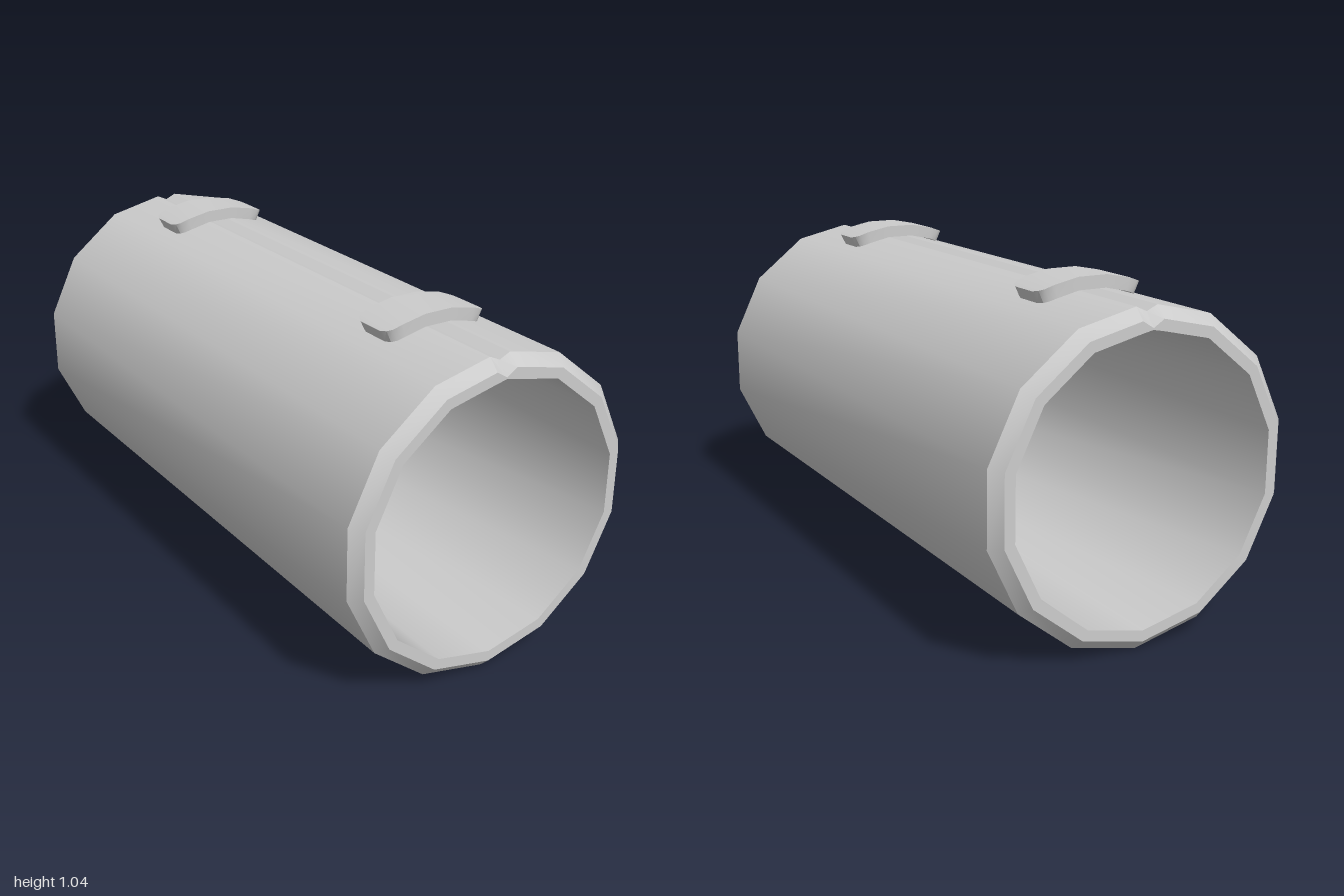
import * as THREE from 'three';
import { toCreasedNormals } from 'three/addons/utils/BufferGeometryUtils.js';

const SIDES = 14, CENTER_Y = 0.505;
const material = new THREE.MeshStandardMaterial({ color: 0xcccccc });

// Skin a list of equal-length closed sections; optionally join last to first or cap the quad ends.
function loft(sections, { join = false, cap = false }) {
  const n = sections[0].length, m = sections.length, index = [];
  for (let i = 0; i < (join ? m : m - 1); i++) {
    for (let j = 0; j < n; j++) {
      const a = i * n + j, d = i * n + (j + 1) % n;
      const k = ((i + 1) % m) * n;
      const b = k + j, c = k + (j + 1) % n;
      index.push(a, b, c, a, c, d);
    }
  }
  if (cap) {
    const e = (m - 1) * n;
    index.push(0, 1, 2, 0, 2, 3, e + 3, e + 2, e + 1, e + 3, e + 1, e);
  }
  const g = new THREE.BufferGeometry();
  g.setAttribute('position', new THREE.Float32BufferAttribute(sections.flat(2), 3));
  g.setIndex(index);
  return toCreasedNormals(g, 0.55);
}

// 14-sided ring whose top corner is split into a shallow V of the given lowest height.
function ring(radius, z, grooveY) {
  const x = 0.035, y = CENTER_Y + radius - x * Math.tan(Math.PI / SIDES);
  const points = [[0, grooveY, z], [x, y, z]];
  for (let i = 1; i < SIDES; i++) {
    const a = (i / SIDES) * Math.PI * 2;
    points.push([radius * Math.sin(a), CENTER_Y + radius * Math.cos(a), z]);
  }
  points.push([-x, y, z]);
  return points;
}

// Curved strap with rounded ends: [outer x, outer y, inner x, inner y, half width]
function clipGeometry() {
  const half = [
    [0.048, 1.043, 0.046, 1.004, 0.082],
    [0.128, 1.027, 0.118, 0.988, 0.082],
    [0.158, 1.016, 0.142, 0.98, 0.077],
    [0.172, 1.011, 0.155, 0.975, 0.066],
    [0.18, 1.007, 0.162, 0.972, 0.045],
  ];
  const mirrored = half.map(([a, b, c, d, w]) => [-a, b, -c, d, w]).reverse();
  const sections = [...mirrored, ...half].map(([ox, oy, ix, iy, w]) =>
    [[ox, oy, w], [ox, oy, -w], [ix, iy, -w], [ix, iy, w]]);
  return loft(sections, { cap: true });
}

export function createModel() {
  const model = new THREE.Group();
  model.name = 'clippedTube';

  // Hollow tube with chamfered rims and a groove along the top
  const tube = new THREE.Mesh(loft([
    ring(0.435, -1, 0.939),
    ring(0.469, -1, 0.944),
    ring(0.503, -0.966, 0.984),
    ring(0.503, 0.966, 0.984),
    ring(0.469, 1, 0.944),
    ring(0.435, 1, 0.939),
  ], { join: true }), material);
  tube.name = 'tube';
  model.add(tube);

  // Clips bridging the groove
  const clip = clipGeometry();
  for (const [name, z] of [['frontClip', 0.62], ['backClip', -0.627]]) {
    const mesh = new THREE.Mesh(clip, material);
    mesh.name = name;
    mesh.position.z = z;
    model.add(mesh);
  }
  return model;
}
